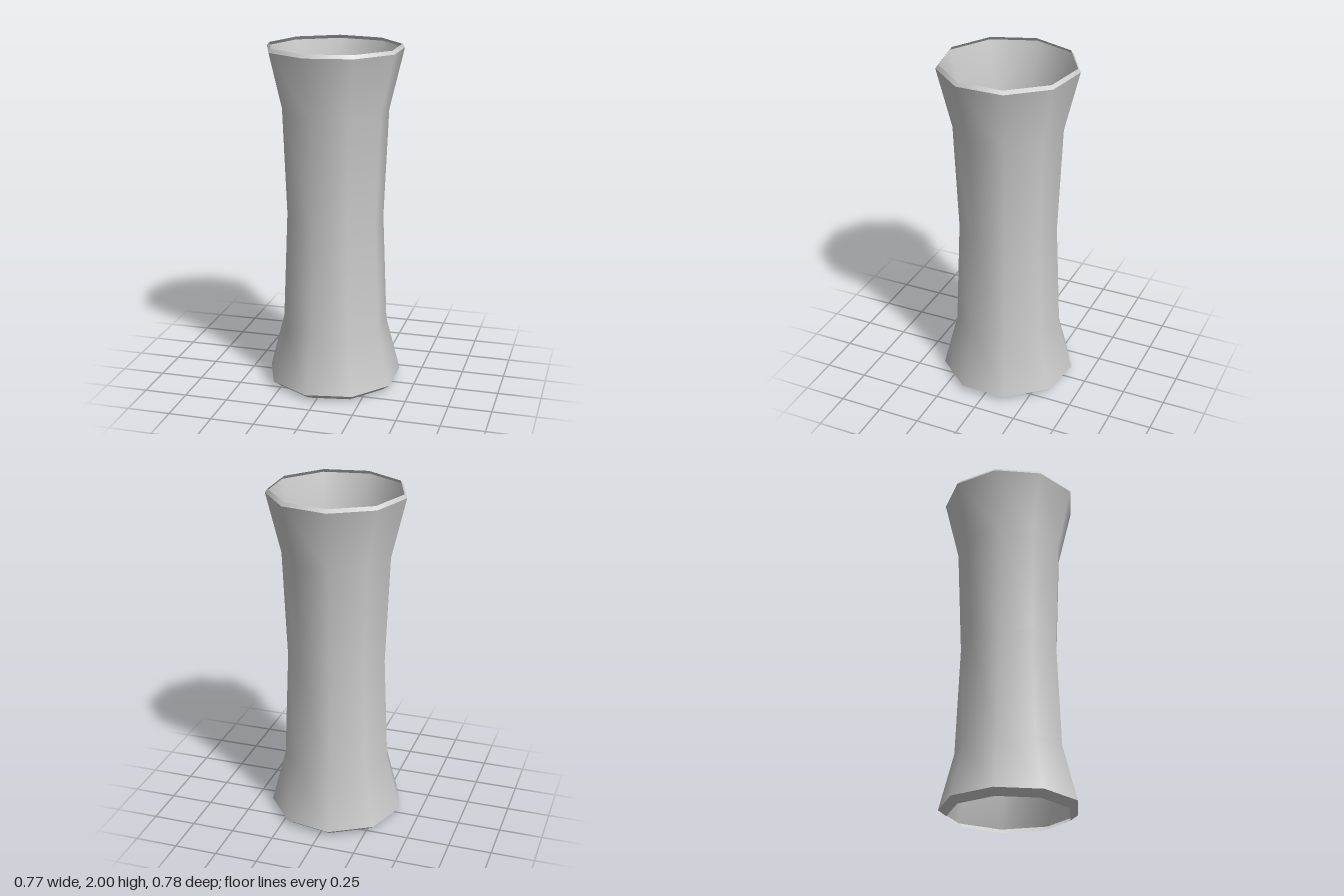
import * as THREE from 'three';

const SIDES = 9;

export function createModel() {
  const group = new THREE.Group();
  group.name = 'flaredTube';
  const material = new THREE.MeshStandardMaterial({ color: 0xcccccc, side: THREE.DoubleSide });

  // One band of the open nine-sided tube, from [radius, height] pairs, with a corner towards -x
  function addBand(name, profile) {
    const points = profile.map(([r, y]) => new THREE.Vector2(r, y));
    const mesh = new THREE.Mesh(new THREE.LatheGeometry(points, SIDES, -Math.PI / 2), material);
    mesh.name = name;
    mesh.position.x = 0.011; // centres the odd-sided outline
    group.add(mesh);
  }

  // Separate bands keep the bevel edges sharp while the wall stays smooth
  addBand('bottomBevel', [[0.35, 0], [0.396, 0.035]]);
  addBand('waistedWall', [[0.396, 0.035], [0.312, 0.36], [0.286, 1], [0.312, 1.63], [0.396, 1.98]]);
  addBand('topBevel', [[0.396, 1.98], [0.381, 2]]);

  return group;
}
